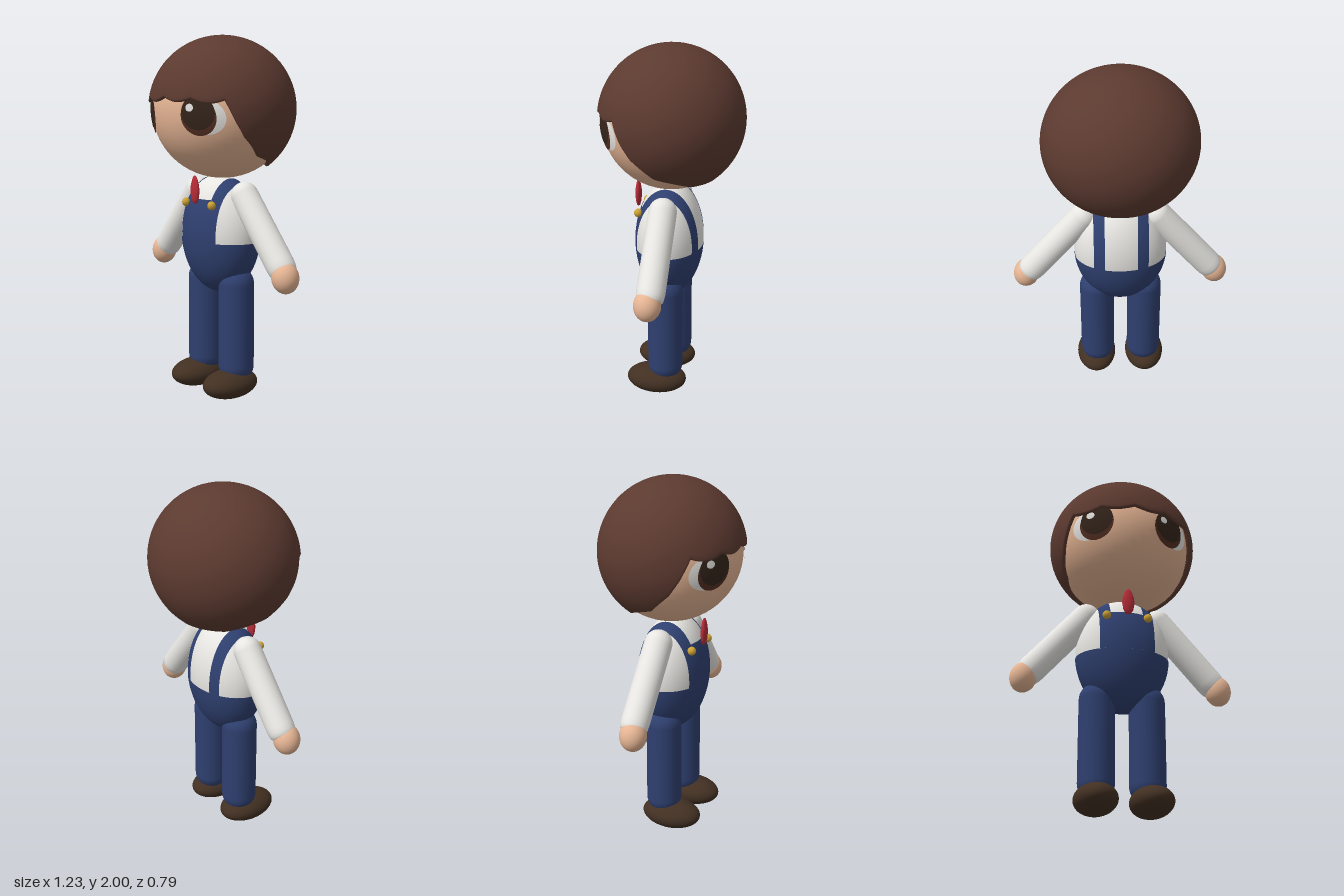
import * as THREE from 'three';
import { mergeVertices } from 'three/addons/utils/BufferGeometryUtils.js';

const mat = (name, color, side = THREE.FrontSide) => {
  const m = new THREE.MeshStandardMaterial({ color, side });
  m.name = name;
  return m;
};

// Smooth surface from fn(u, v) -> [x, y, z], with u to the right and v downwards
function grid(nu, nv, fn) {
  const pos = [], index = [];
  for (let j = 0; j <= nv; j++)
    for (let i = 0; i <= nu; i++) pos.push(...fn(i / nu, j / nv));
  for (let j = 0; j < nv; j++)
    for (let i = 0; i < nu; i++) {
      const a = j * (nu + 1) + i, b = a + nu + 1;
      index.push(a, b, a + 1, a + 1, b, b + 1);
    }
  let g = new THREE.BufferGeometry();
  g.setAttribute('position', new THREE.Float32BufferAttribute(pos, 3));
  g.setIndex(index);
  g = mergeVertices(g, 1e-5);
  g.computeVertexNormals();
  return g;
}

export function createModel() {
  const model = new THREE.Group();
  model.name = 'figure';
  const skin = mat('skin', 0xe6b594);
  const hairBrown = mat('hair brown', 0x5c3a30, THREE.DoubleSide);
  const white = mat('shirt white', 0xeae9e5);
  const blue = mat('overall blue', 0x2f4070, THREE.DoubleSide);
  const shoeBrown = mat('shoe brown', 0x423022);
  const red = mat('tie red', 0xb82c38);
  const gold = mat('button gold', 0xcda235);
  const irisBrown = mat('iris brown', 0x553024);
  const pupilBrown = mat('pupil brown', 0x35251b);

  const add = (name, geometry, material, x = 0, y = 0, z = 0) => {
    const m = new THREE.Mesh(geometry, material);
    m.name = name;
    m.position.set(x, y, z);
    model.add(m);
    return m;
  };
  const ellipsoid = (rx, ry, rz) => new THREE.SphereGeometry(1, 48, 32).scale(rx, ry, rz);

  // Head
  const headY = 1.6, hx = 0.4, hy = 0.38, hz = 0.38;
  add('head', ellipsoid(hx, hy, hz), skin, 0, headY, 0);

  // Hair cap: its lower edge follows [degrees from the front, height]
  const hairline = [[0, 1.675], [52, 1.66], [60, 1.55], [68, 1.465], [85, 1.36],
    [104, 1.33], [126, 1.29], [180, 1.29]];
  const edgeAngle = (theta) => {
    const d = Math.min(180, Math.abs(theta) * 180 / Math.PI);
    let k = 1;
    while (k < hairline.length - 1 && d > hairline[k][0]) k++;
    const [d0, y0] = hairline[k - 1], [d1, y1] = hairline[k];
    let y = y0 + (y1 - y0) * (d - d0) / (d1 - d0);
    if (d < 52) y -= 0.02 * Math.abs(Math.sin(d / 26 * Math.PI)); // scalloped fringe
    return Math.acos((y - headY) / 0.4);
  };
  const rows = 30, lip = [[0.02, 0.99], [0.025, 0.965], [0.01, 0.93]]; // lip tucks into the head
  add('hair', grid(180, rows + lip.length, (u, v) => {
    const theta = (u * 2 - 1) * Math.PI, row = Math.round(v * (rows + lip.length));
    let phi = edgeAngle(theta), s = 1;
    if (row <= rows) phi *= row / rows;
    else {
      const [dPhi, scale] = lip[row - rows - 1];
      phi += dPhi;
      s = scale;
    }
    return [0.42 * s * Math.sin(phi) * Math.sin(theta), 0.4 * s * Math.cos(phi),
      0.4 * s * Math.sin(phi) * Math.cos(theta)];
  }), hairBrown, 0, headY, 0);

  // Eyes: thin oval patches that follow the curve of the face
  const facePatch = (name, material, cx, cy, rx, ry, lift) =>
    add(name, grid(40, 8, (u, v) => {
      const a = u * 2 * Math.PI, r = 1 - v;
      const x = cx + rx * r * Math.sin(a), y = cy - headY + ry * r * Math.cos(a);
      const z = hz * Math.sqrt(Math.max(0, 1 - (x / hx) ** 2 - (y / hy) ** 2));
      return [x * lift, y * lift, z * lift];
    }), material, 0, headY, 0);
  for (const [side, s] of [['left', 1], ['right', -1]]) {
    facePatch(side + 'EyeWhite', white, s * 0.235, 1.565, 0.083, 0.09, 1.006);
    facePatch(side + 'Iris', irisBrown, s * 0.2, 1.567, 0.085, 0.098, 1.012);
    facePatch(side + 'Pupil', pupilBrown, s * 0.2, 1.587, 0.08, 0.088, 1.018);
    facePatch(side + 'EyeHighlight', white, s * 0.2 - 0.033, 1.612, 0.02, 0.02, 1.024);
  }

  // Torso: white shirt, with the overalls as a thin layer on top
  const tx = 0.26, ty = 0.33, tz = 0.188, torsoY = 0.91, torsoZ = 0.012, waist = -0.03, layer = 1.01;
  add('shirt', ellipsoid(tx, ty, tz), white, 0, torsoY, torsoZ);
  const rim = Math.acos(waist / ty);
  add('overallBottom',
    new THREE.SphereGeometry(layer, 48, 24, 0, Math.PI * 2, rim, Math.PI - rim).scale(tx, ty, tz),
    blue, 0, torsoY, torsoZ);

  // Cloth band from x0 to x1, from the front waist up to a height or over to the back waist
  const band = (name, x0, x1, topY) => add(name, grid(16, 48, (u, v) => {
    const x = x0 + (x1 - x0) * u, s = Math.sqrt(1 - (x / tx) ** 2);
    const low = Math.asin(waist / (ty * s));
    const high = topY === undefined ? Math.PI - low : Math.asin((topY - torsoY) / (ty * s));
    const t = high + (low - high) * v;
    return [x * layer, ty * s * Math.sin(t) * layer, tz * s * Math.cos(t) * layer];
  }), blue, 0, torsoY, torsoZ);
  band('bib', -0.15, 0.15, 1.11);
  band('leftStrap', 0.09, 0.15);
  band('rightStrap', -0.15, -0.09);

  // Tie
  const tieProfile = [[0, -0.078], [0.015, -0.074], [0.028, -0.05], [0.035, -0.01],
    [0.031, 0.025], [0.02, 0.058], [0.01, 0.074], [0, 0.078]].map(p => new THREE.Vector2(...p));
  add('tie', new THREE.LatheGeometry(tieProfile, 24).scale(1, 1, 0.5), red, 0, 1.165, 0.19);

  // Sleeve: rounded shoulder, straight tube, softly rounded cuff
  const sleeveLength = 0.5;
  const sleeveProfile = [[0, -sleeveLength], [0.06, -sleeveLength], [0.07, -sleeveLength + 0.008],
    [0.075, -sleeveLength + 0.03], [0.077, -sleeveLength + 0.06]].map(p => new THREE.Vector2(...p));
  for (let i = 0; i <= 8; i++) {
    const a = i / 8 * Math.PI / 2;
    sleeveProfile.push(new THREE.Vector2(0.077 * Math.cos(a), 0.077 * Math.sin(a)));
  }

  // Mirrored limbs and buttons
  for (const [side, s] of [['left', 1], ['right', -1]]) {
    const tilt = s * 0.71;
    add(side + 'Sleeve', new THREE.LatheGeometry(sleeveProfile, 24), white,
      s * 0.205, 1.135, 0.008).rotation.z = tilt;
    add(side + 'Hand', ellipsoid(0.073, 0.085, 0.073), skin,
      s * 0.542, 0.742, 0.017).rotation.z = s * 0.2;
    add(side + 'Leg', new THREE.CapsuleGeometry(0.099, 0.46, 10, 32), blue, s * 0.138, 0.41, 0.01);
    add(side + 'Shoe', ellipsoid(0.116, 0.08, 0.172), shoeBrown, s * 0.147, 0.082, 0.06);
    add(side + 'Button', new THREE.SphereGeometry(0.024, 10, 8), gold, s * 0.115, 1.085, 0.165);
  }
  return model;
}
